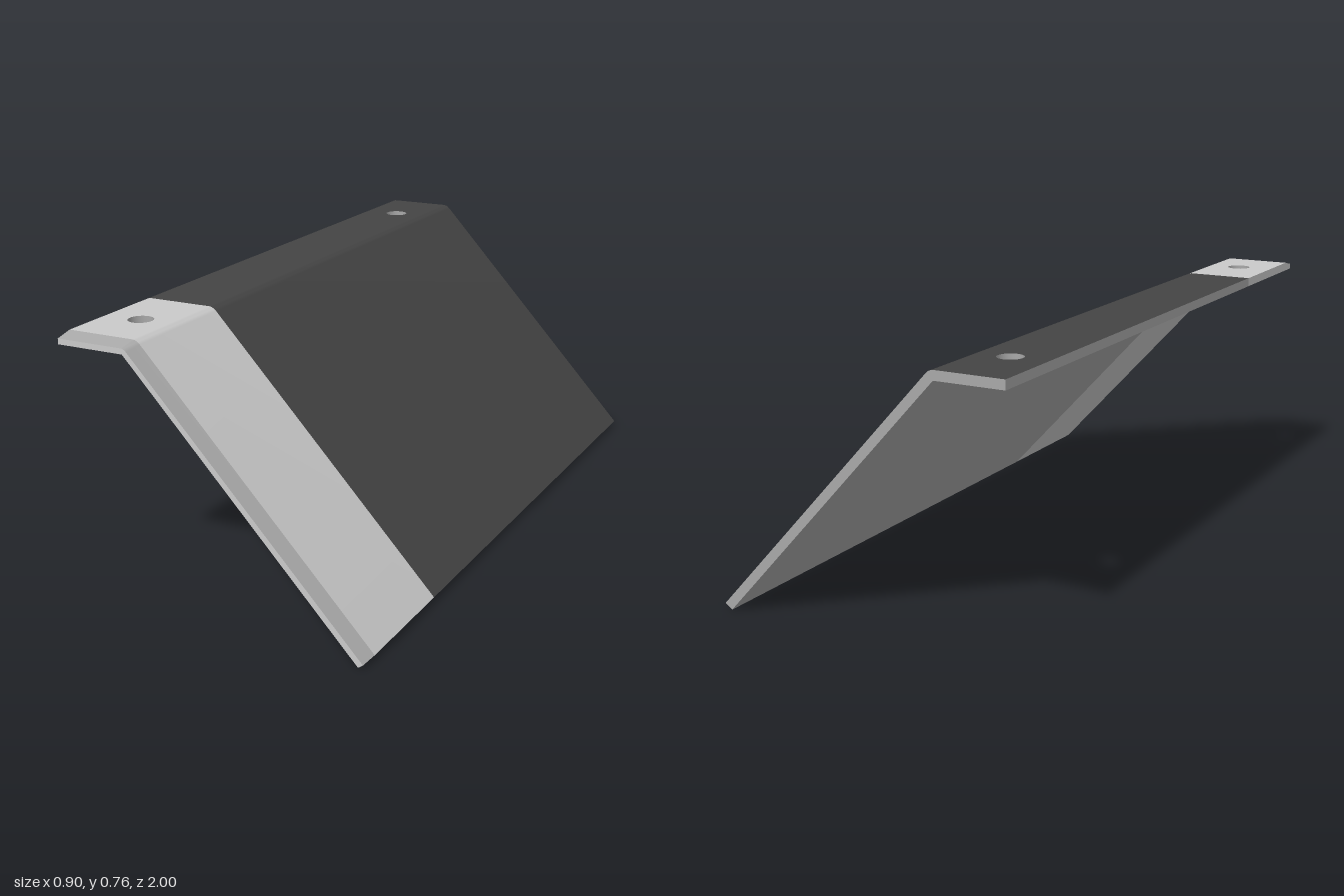
import * as THREE from 'three';
import { toCreasedNormals } from 'three/addons/utils/BufferGeometryUtils.js';

const brightSteel = new THREE.MeshStandardMaterial({ name: 'brightSteel', color: 0xcacaca });
const dullSteel = new THREE.MeshStandardMaterial({ name: 'dullSteel', color: 0xa8a8a8 });
const darkCoating = new THREE.MeshStandardMaterial({ name: 'darkCoating', color: 0x444444 });

// Cross-section of the bent plate, seen from the front
const LEFT = -0.45, BEND = -0.247, TOP = 0.758, UNDER = 0.731;
const SPLIT = 0.59, BEVEL = 0.95, DROP = 0.011;
const topLeft = [LEFT, TOP], underLeft = [LEFT, UNDER];
const bendTop = [[BEND, TOP], [-0.240, 0.7565], [-0.233, 0.753], [-0.226, 0.747]];
const tipTop = [0.45, 0.016], tipUnder = [0.428, 0], bendUnder = [BEND, UNDER];
const slopeTop = [...bendTop, tipTop];

// Top line lowered into the plate's thickness, for the bevelled front edge
const cut = DROP * 0.73;
const lowFlange = [[LEFT, TOP - DROP], [BEND, TOP - DROP]];
const lowSlope = [
  [BEND, TOP - DROP],
  ...bendTop.slice(1, 3).map(([x, y]) => [x - cut * 0.5, y - DROP * 0.95]),
  [-0.226 - cut, 0.747 - cut],
  [0.45 - cut, 0.016 - cut * 0.75],
];

export function createModel() {
  const group = new THREE.Group();
  group.name = 'bentPlate';

  const add = (name, geometry, material) => {
    const mesh = new THREE.Mesh(geometry, material);
    mesh.name = name;
    group.add(mesh);
    return mesh;
  };

  // Surface between a front rail and a back rail
  const ribbon = (name, material, front, zFront, zBack, back = front) => {
    const pos = [];
    for (let i = 0; i < front.length - 1; i++) {
      const a = [...front[i], zFront], b = [...front[i + 1], zFront];
      const c = [...back[i + 1], zBack], d = [...back[i], zBack];
      pos.push(...a, ...b, ...c, ...a, ...c, ...d);
    }
    const g = new THREE.BufferGeometry();
    g.setAttribute('position', new THREE.Float32BufferAttribute(pos, 3));
    add(name, toCreasedNormals(g, 0.5), material);
  };

  // Flat flange face with a bolt hole
  const flange = (name, material, z0, z1, holeZ, up) => {
    const s = up ? -1 : 1;
    const shape = new THREE.Shape([[LEFT, z0], [BEND, z0], [BEND, z1], [LEFT, z1]]
      .map(([x, z]) => new THREE.Vector2(x, s * z)));
    const hole = new THREE.Path();
    hole.absarc(-0.34, s * holeZ, 0.036, 0, Math.PI * 2);
    shape.holes.push(hole);
    const g = new THREE.ShapeGeometry(shape, 16);
    g.rotateX(s * Math.PI / 2).translate(0, up ? TOP : UNDER, 0);
    add(name, g, material);
  };

  // Flange and slope, upper side
  flange('coatedFlangeTop', darkCoating, -1, SPLIT, -0.785, true);
  flange('bareFlangeTop', brightSteel, SPLIT, BEVEL, 0.785, true);
  ribbon('coatedSlopeTop', darkCoating, slopeTop, SPLIT, -1);
  ribbon('bareSlopeTop', brightSteel, slopeTop, BEVEL, SPLIT);

  // Bevelled front edge
  ribbon('flangeBevel', dullSteel, lowFlange, 1, BEVEL, [topLeft, bendTop[0]]);
  ribbon('slopeBevel', dullSteel, lowSlope, 1, BEVEL, slopeTop);

  // Underside and long edges, rear and front lengths
  const lowTip = lowSlope[lowSlope.length - 1];
  for (const [part, material, z0, z1, holeZ] of [
    ['rear', dullSteel, -1, SPLIT, -0.785],
    ['front', brightSteel, SPLIT, 1, 0.785],
  ]) {
    flange(part + 'FlangeUnderside', material, z0, z1, holeZ, false);
    ribbon(part + 'SlopeUnderside', material, [tipUnder, bendUnder], z1, z0);
    const zEdge = Math.min(z1, BEVEL);
    ribbon(part + 'FlangeEdge', material, [underLeft, topLeft], zEdge, z0);
    ribbon(part + 'SlopeEdge', material, [tipTop, tipUnder], zEdge, z0);

    // Bolt hole wall, facing inwards
    const wall = new THREE.LatheGeometry(
      [new THREE.Vector2(0.036, TOP), new THREE.Vector2(0.036, UNDER)], 32);
    add(part + 'HoleWall', wall, dullSteel).position.set(-0.34, 0, holeZ);
  }
  ribbon('bevelFlangeEdge', brightSteel, [underLeft, lowFlange[0]], 1, BEVEL, [underLeft, topLeft]);
  ribbon('bevelSlopeEdge', brightSteel, [lowTip, tipUnder], 1, BEVEL, [tipTop, tipUnder]);

  // End faces
  const endFace = (points) => new THREE.ShapeGeometry(
    new THREE.Shape(points.map(([x, y]) => new THREE.Vector2(x, y))));
  const under = [tipUnder, bendUnder, underLeft];
  add('frontEnd', endFace([lowFlange[0], ...lowSlope, ...under]), brightSteel).position.z = 1;
  const mirrored = [topLeft, ...slopeTop, ...under].map(([x, y]) => [-x, y]);
  const back = add('backEnd', endFace(mirrored), dullSteel);
  back.rotation.y = Math.PI;
  back.position.z = -1;

  return group;
}
